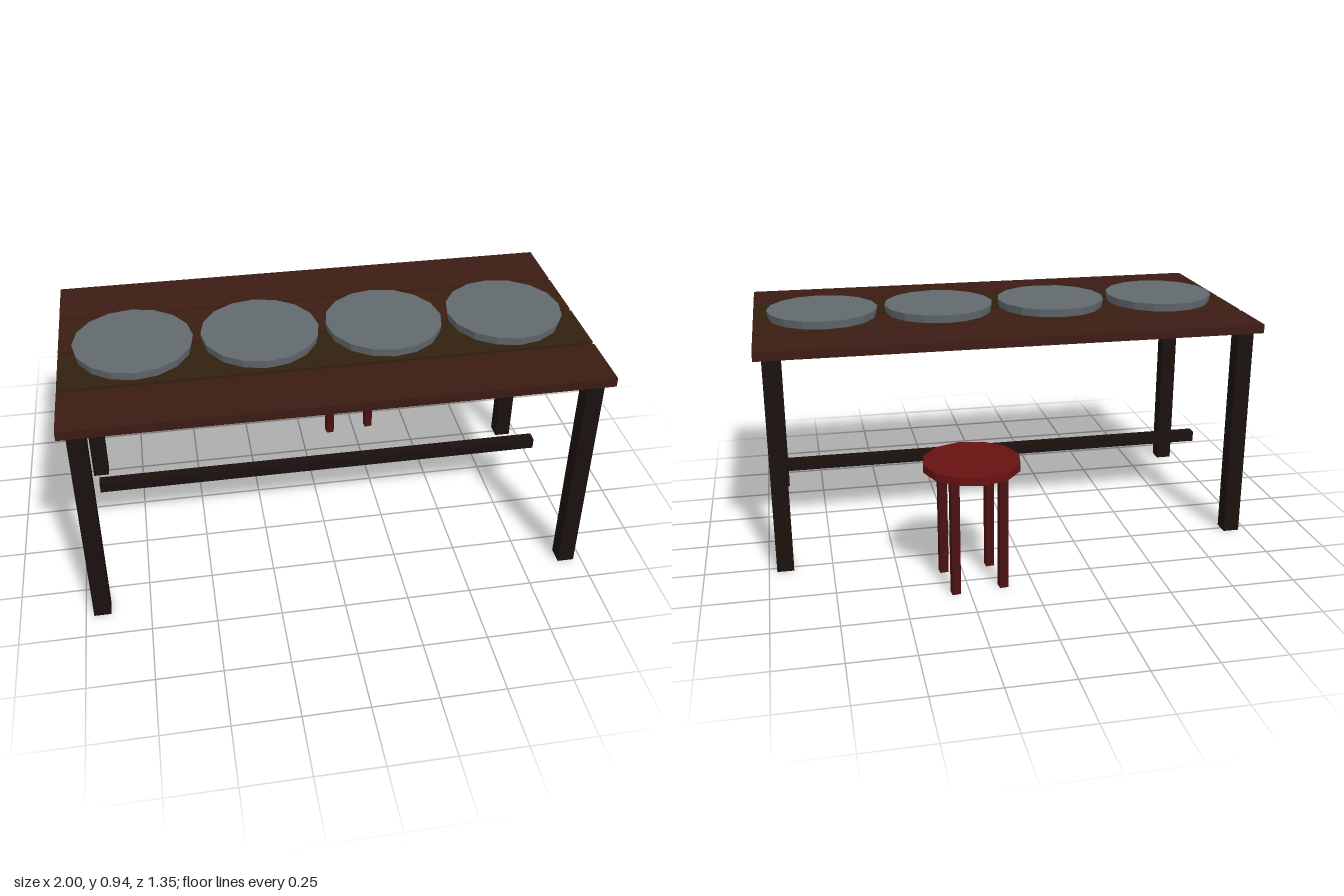
import * as THREE from 'three';

const paint = (color) => new THREE.MeshStandardMaterial({ color, flatShading: true });

const darkWood = paint(0x1a110e);
const plankWoods = [0x3d1c14, 0x3a1d13, 0x30210f, 0x3b1b14].map(paint);
const steel = paint(0x626a6e);
const seatRed = paint(0x681212);
const legRed = paint(0x4a1012);

function add(parent, name, geometry, material, x, y, z) {
  const mesh = new THREE.Mesh(geometry, material);
  mesh.name = name;
  mesh.position.set(x, y, z);
  parent.add(mesh);
  return mesh;
}

function createTable() {
  const table = new THREE.Group();
  table.name = 'table';

  // Four planks with narrow gaps, from back to front
  const plank = new THREE.BoxGeometry(2, 0.036, 0.235);
  plankWoods.forEach((wood, i) =>
    add(table, 'plank', plank, wood, 0, 0.894, (i - 1.5) * 0.25));

  // Square corner legs
  const leg = new THREE.BoxGeometry(0.066, 0.876, 0.066);
  for (const x of [-0.936, 0.936])
    for (const z of [-0.432, 0.432]) add(table, 'tableLeg', leg, darkWood, x, 0.438, z);

  // Long stretcher beneath the middle
  add(table, 'stretcher', new THREE.BoxGeometry(1.83, 0.044, 0.044), darkWood, 0, 0.268, 0);

  // Row of plates, slightly flared
  const plate = new THREE.CylinderGeometry(0.226, 0.22, 0.033, 16);
  for (let i = 0; i < 4; i++)
    add(table, 'plate', plate, steel, (i - 1.5) * 0.48, 0.9285, 0);

  return table;
}

function createStool() {
  const stool = new THREE.Group();
  stool.name = 'stool';

  // Twelve-sided seat
  add(stool, 'stoolSeat', new THREE.CylinderGeometry(0.188, 0.188, 0.031, 12), seatRed, 0, 0.4845, 0);

  // Four slim square legs
  const leg = new THREE.BoxGeometry(0.033, 0.47, 0.033);
  for (const x of [-0.094, 0.094])
    for (const z of [-0.094, 0.094]) add(stool, 'stoolLeg', leg, legRed, x, 0.235, z);

  return stool;
}

export function createModel() {
  const model = new THREE.Group();
  model.name = 'diningSet';

  const table = createTable();
  table.position.z = 0.182;

  // The stool stands behind the table, turned a little
  const stool = createStool();
  stool.position.set(0.22, 0, -0.485);
  stool.rotation.y = 0.1;

  model.add(table, stool);
  return model;
}
